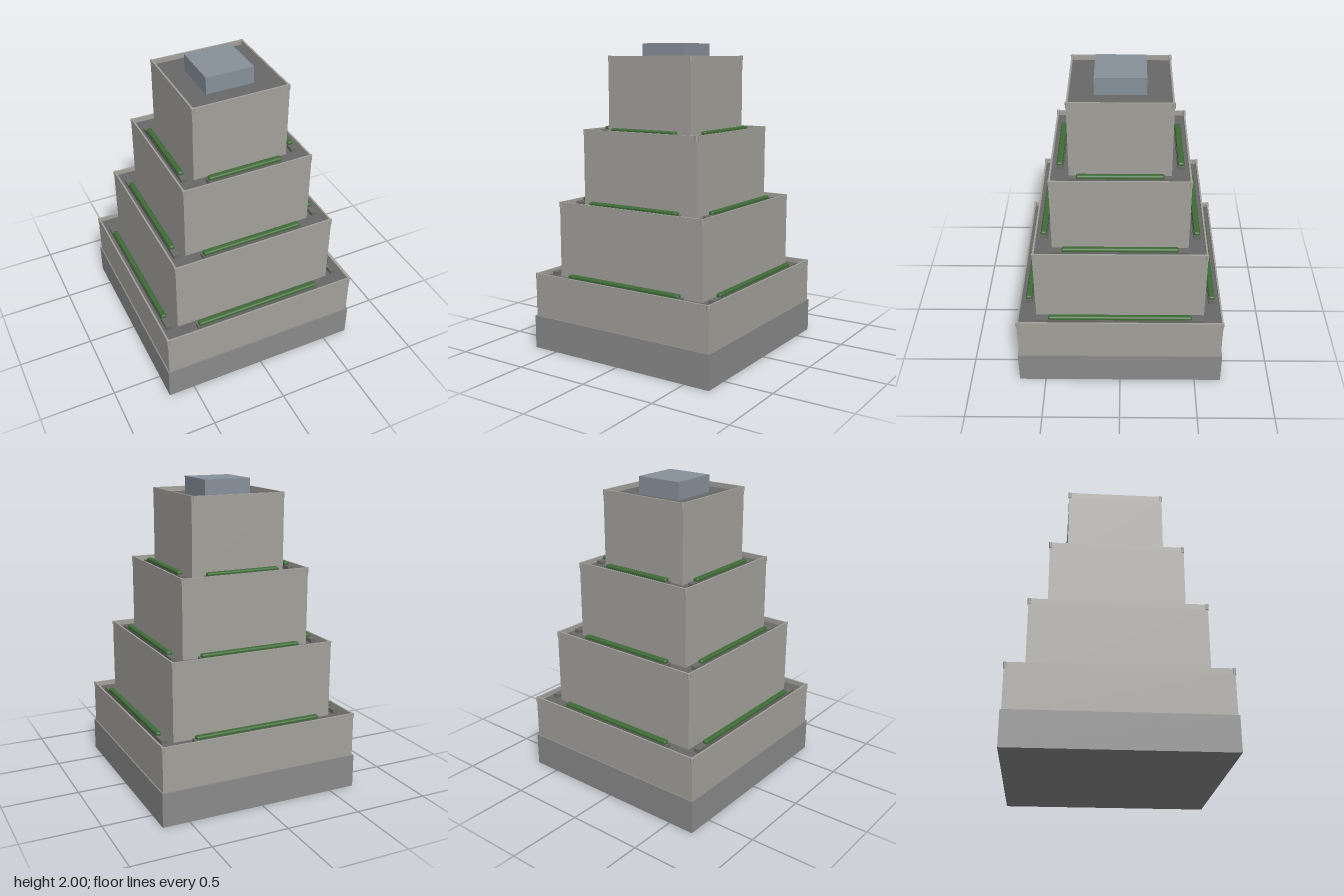
import * as THREE from 'three';
import { RoundedBoxGeometry } from 'three/addons/geometries/RoundedBoxGeometry.js';

const paint = (color) => new THREE.MeshStandardMaterial({ color });

export function createModel() {
  const model = new THREE.Group();
  model.name = 'steppedTower';
  const wallMat = paint(0xa3a19b);
  const baseMat = paint(0x8a8a8a);
  const roofMat = paint(0x686868);
  const troughMat = paint(0x6b6b68);
  const hedgeMat = paint(0x3f6b37);
  const capMat = paint(0x87909a);

  const add = (parent, name, geometry, material, x, y, z) => {
    const mesh = new THREE.Mesh(geometry, material);
    mesh.name = name;
    mesh.position.set(x, y, z);
    parent.add(mesh);
    return mesh;
  };
  // Box given by its full sizes and the height of its underside
  const box = (parent, name, w, h, d, x, y, z, material) =>
    add(parent, name, new THREE.BoxGeometry(w, h, d), material, x, y + h / 2, z);

  // Square ring standing on the roof edge
  const ringGeometry = (half, thickness, height) => {
    const square = (s) => [[-s, -s], [s, -s], [s, s], [-s, s]].map(([x, y]) => new THREE.Vector2(x, y));
    const shape = new THREE.Shape(square(half));
    shape.holes.push(new THREE.Path(square(half - thickness).reverse()));
    const geometry = new THREE.ExtrudeGeometry(shape, { depth: height, bevelEnabled: false });
    return geometry.rotateX(-Math.PI / 2);
  };

  // Plinth
  box(model, 'base', 1.35, 0.22, 1.35, 0, 0, 0, baseMat);

  // Four stacked tiers: half width and roof height
  const halves = [0.666, 0.549, 0.433, 0.316];
  const roofs = [0.473, 0.944, 1.415, 1.885];
  const rail = 0.035;
  halves.forEach((half, i) => {
    const tier = new THREE.Group();
    tier.name = `tier${i + 1}`;
    model.add(tier);
    const bottom = i === 0 ? 0.2 : roofs[i - 1];
    const roof = roofs[i];
    box(tier, 'walls', half * 2, roof - bottom, half * 2, 0, bottom, 0, wallMat);
    box(tier, 'roofDeck', half * 2 - 0.02, 0.003, half * 2 - 0.02, 0, roof, 0, roofMat);
    add(tier, 'parapet', ringGeometry(half, 0.011, rail), wallMat, 0, roof, 0);

    // Corner posts of the parapet
    const corner = half - 0.006;
    for (const sx of [-1, 1]) {
      for (const sz of [-1, 1]) {
        add(tier, 'cornerPost', new THREE.CylinderGeometry(0.011, 0.011, rail + 0.002, 8),
          wallMat, sx * corner, roof + rail / 2, sz * corner);
      }
    }

    // Planted troughs on the terrace around the next tier
    if (i === halves.length - 1) return;
    const next = halves[i + 1];
    const centre = (half + next) / 2;
    for (const s of [-1, 1]) {
      box(tier, 'terraceTrough', next * 1.6, 0.027, 0.045, 0, roof, s * centre, troughMat);
      add(tier, 'terraceHedge', new RoundedBoxGeometry(next * 1.555, 0.036, 0.04, 2, 0.011),
        hedgeMat, 0, roof + 0.03, s * centre);
      box(tier, 'sideTrough', 0.037, 0.027, next * 1.99, s * centre, roof, 0, troughMat);
      add(tier, 'sideHedge', new RoundedBoxGeometry(0.035, 0.036, next * 1.69, 2, 0.011),
        hedgeMat, s * centre, roof + 0.03, 0);
    }
  });

  // Plant room on the top roof
  box(model, 'roofPlantRoom', 0.315, 0.115, 0.315, 0, 1.885, 0, capMat);
  return model;
}
